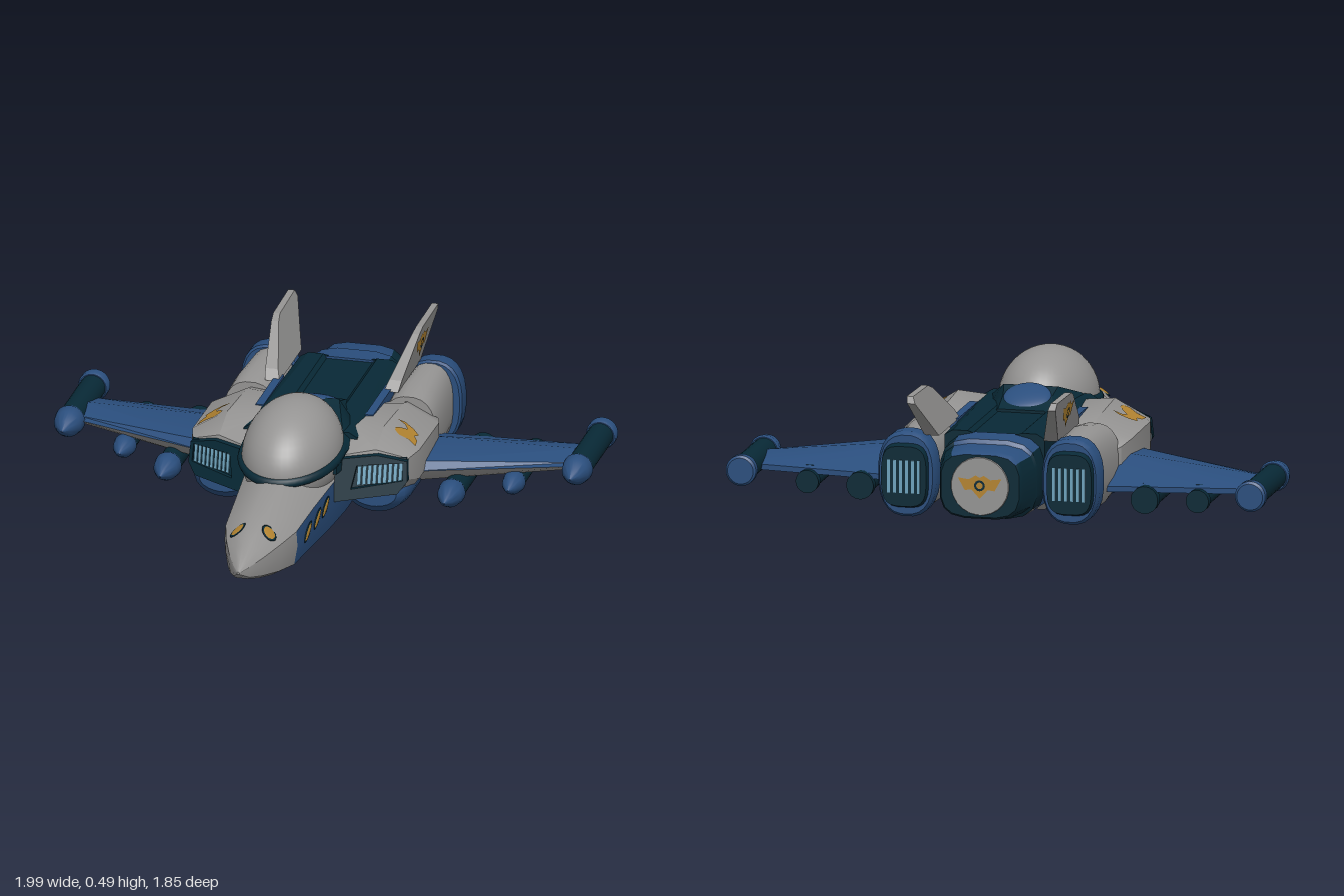
import * as THREE from 'three';
import { toCreasedNormals } from 'three/addons/utils/BufferGeometryUtils.js';

const flat = (name, color, side = THREE.FrontSide) => {
  const m = new THREE.MeshStandardMaterial({ color, side });
  m.name = name;
  return m;
};

export function createModel() {
  const grey = flat('hullGrey', 0x959493), blue = flat('blue', 0x2a4e7d), teal = flat('darkTeal', 0x082936, THREE.DoubleSide);
  const gold = flat('gold', 0xb38431, THREE.DoubleSide), light = flat('grilleBlue', 0x6ea3bd);
  const model = new THREE.Group();
  model.name = 'starfighter';

  const add = (name, geo, mat) => {
    const m = new THREE.Mesh(geo, mat);
    m.name = name;
    model.add(m);
  };
  // Mirrored copy in x with the triangle winding turned back outwards
  const mirror = (geo) => {
    const g = geo.clone().scale(-1, 1, 1);
    for (const a of Object.values(g.attributes)) {
      const n = a.itemSize;
      for (let t = 0; t < a.count; t += 3) for (let k = 0; k < n; k++) {
        const p = (t + 1) * n + k, q = (t + 2) * n + k, v = a.array[p];
        a.array[p] = a.array[q];
        a.array[q] = v;
      }
    }
    return g;
  };
  const pair = (name, geo, mat) => {
    const g = geo.index ? geo.toNonIndexed() : geo;
    add('left' + name, g, mat);
    add('right' + name, mirror(g), mat);
  };
  // Closed skin over rings of [x, y, z]; pick(i, j) gives the material slot, i = -1 / -2 are the end caps
  const loft = (rings, crease = 0.6, pick = () => 0) => {
    const slots = [];
    const put = (s, ...p) => (slots[s] ||= []).push(...p.flat());
    const n = rings[0].length, last = rings.length - 1;
    const mid = (r) => [0, 1, 2].map((k) => r.reduce((t, p) => t + p[k], 0) / n);
    for (let j = 0; j < n; j++) {
      const k = (j + 1) % n;
      for (let i = 0; i < last; i++) {
        const a = rings[i][j], b = rings[i][k], c = rings[i + 1][k], d = rings[i + 1][j];
        put(pick(i, j), a, d, c, a, c, b);
      }
      put(pick(-1, j), mid(rings[0]), rings[0][j], rings[0][k]);
      put(pick(-2, j), mid(rings[last]), rings[last][k], rings[last][j]);
    }
    const g = new THREE.BufferGeometry();
    let start = 0;
    slots.forEach((s, i) => {
      g.addGroup(start, s.length / 3, i);
      start += s.length / 3;
    });
    g.setAttribute('position', new THREE.Float32BufferAttribute(slots.flat(), 3));
    return toCreasedNormals(g, crease);
  };
  const ring = (cx, cy, z, rx, ry, p = 2, n = 24) => Array.from({ length: n }, (_, i) => {
    const t = (i + 0.5) / n * Math.PI * 2, c = Math.cos(t), s = Math.sin(t);
    return [cx + rx * Math.sign(c) * Math.abs(c) ** (2 / p), cy + ry * Math.sign(s) * Math.abs(s) ** (2 / p), z];
  });
  const tube = (cx, cy, list, p) => loft(list.map(([z, rx, ry = rx]) => ring(cx, cy, z, rx, ry, p)));
  const shape = (pts) => new THREE.Shape(pts.map(([x, y]) => new THREE.Vector2(x, y)));
  const warp = (geo, fn) => {
    const p = geo.attributes.position;
    for (let i = 0; i < p.count; i++) p.setXYZ(i, ...fn(p.getX(i), p.getY(i), p.getZ(i)));
    geo.computeVertexNormals();
    return geo;
  };
  const ellipsoid = (x, y, z, seg = 32) => new THREE.SphereGeometry(1, seg, seg / 2).scale(x, y, z);

  // Fuselage: grey nose, back and belly with blue flanks
  const half = [[0.66, 0], [0.91, 0.09], [1, 0.42], [0.97, 0.68], [0.6, 0.9], [0.2, 1]];
  const profile = [...half, ...half.map(([x, y]) => [-x, y]).reverse()];
  const hull = [[0.92, 0.004, 0.125, 0.135], [0.87, 0.033, 0.092, 0.162], [0.8, 0.066, 0.07, 0.19],
    [0.7, 0.104, 0.047, 0.222], [0.59, 0.135, 0.03, 0.245], [0.4, 0.15, 0.02, 0.278], [0.2, 0.168, 0.012, 0.305],
    [0, 0.18, 0.008, 0.315], [-0.43, 0.18, 0.008, 0.315], [-0.46, 0.18, 0.04, 0.315], [-0.74, 0.17, 0.05, 0.3]];
  add('fuselage', loft(hull.map(([z, w, b, t]) => profile.map(([x, y]) => [x * w, b + y * (t - b), z])), 0.5,
    (i, j) => (i >= 4 && [1, 2, 8, 9].includes(j) ? 1 : 0)), [grey, blue]);

  // Canopy bubble, its tilted frame and the raised collar behind it
  add('canopy', ellipsoid(0.178, 0.19, 0.265, 48).rotateX(0.12).translate(0, 0.3, 0.13), grey);
  add('canopyFrame', new THREE.TorusGeometry(1, 0.09, 8, 48).rotateX(Math.PI / 2).scale(0.176, 0.2, 0.258)
    .rotateX(0.1).translate(0, 0.3, 0.13), teal);
  const collar = [[0.2, 0.18, 0.295, 0.165], [0, 0.205, 0.35, 0.15], [-0.15, 0.165, 0.4, 0.1], [-0.2, 0.15, 0.372, 0.09],
    [-0.3, 0.14, 0.34, 0.085]];
  add('canopyCollar', loft(collar.map(([z, w, t, u]) =>
    [[w, 0.25, z], [w, 0.305, z], [u, t, z], [-u, t, z], [-w, 0.305, z], [-w, 0.25, z]])), teal);
  add('rearDome', ellipsoid(0.088, 0.022, 0.085).rotateX(-0.42).translate(0, 0.367, -0.205), blue);

  // Dark spine deck with raised side rails and blue edges
  const deck = [[0.02, 0.21], [-0.3, 0.2], [-0.5, 0.19], [-0.7, 0.185]];
  add('spineDeck', loft(deck.map(([z, w]) => [[w, 0.25, z], [w, 0.325, z], [w - 0.03, 0.343, z], [0.1, 0.343, z],
    [0.085, 0.33, z], [-0.085, 0.33, z], [-0.1, 0.343, z], [0.03 - w, 0.343, z], [-w, 0.325, z], [-w, 0.25, z]]), 0.3), teal);
  pair('DeckEdge', new THREE.BoxGeometry(0.03, 0.1, 0.3).translate(0.203, 0.287, -0.33), blue);

  // Tail block: blue top, dark sides, grey end disc with a crest
  const tail = [[-0.69, 0.185, 0.15], [-0.79, 0.18, 0.145], [-0.8, 0.175, 0.13], [-0.9, 0.155, 0.125], [-0.92, 0.145, 0.115]];
  add('tailBlock', loft(tail.map(([z, x, y]) => ring(0, 0.19, z, x, y, 3.5, 16)), 0.5, (i, j) => {
    if (i === -2) return 1;
    if (j > 1 && j < 6) return 0;
    return i === 0 && j > 8 && j < 15 ? 2 : 1;
  }), [blue, teal, grey]);
  add('tailDisc', tube(0, 0.19, [[-0.915, 0.11], [-0.924, 0.105]]), grey);
  const crest = shape([[-0.08, 0.03], [-0.04, 0.025], [-0.015, 0.04], [0, 0.032], [0.015, 0.04], [0.04, 0.025], [0.08, 0.03],
    [0.055, -0.015], [0.03, -0.012], [0, -0.045], [-0.03, -0.012], [-0.055, -0.015]]);
  const crestEye = new THREE.RingGeometry(0.012, 0.02, 16);
  add('tailCrest', new THREE.ShapeGeometry(crest).rotateY(Math.PI).translate(0, 0.19, -0.927), gold);
  add('tailCrestEye', crestEye.clone().rotateY(Math.PI).translate(0, 0.193, -0.929), teal);

  // Shoulders over the intakes: swept, back-leaning front faces and tops that fall towards the rear
  const sweep = (x, y) => 0.165 - 0.5 * (x - 0.17) - 0.25 * (y - 0.14);
  const shoulder = [[null, 0.17, 0.4, 0.305, 0.265, 0.14], [-0.06, 0.18, 0.42, 0.35, 0.27, 0.11],
    [-0.34, 0.19, 0.42, 0.33, 0.265, 0.11], [-0.42, 0.2, 0.4, 0.305, 0.25, 0.11], [-0.445, 0.2, 0.375, 0.28, 0.24, 0.12]];
  pair('Shoulder', loft(shoulder.map(([z, xi, xo, yt, yo, yb]) =>
    [[xo - 0.04, yb], [xo, yb + 0.05], [xo, yo], [0.29, yt], [xi, yt - 0.01], [xi, yb]]
      .map(([x, y]) => [x, y, z ?? sweep(x, y)])), 0.5), grey);
  const swirl = [[0.31, 0.06], [0.34, 0.05], [0.355, 0.025], [0.335, 0.01], [0.32, -0.015], [0.325, -0.04], [0.345, -0.055],
    [0.375, -0.045], [0.405, -0.06], [0.4, -0.015], [0.385, 0.005], [0.395, 0.03], [0.37, 0.055], [0.335, 0.07]];
  pair('ShoulderEmblem', warp(new THREE.ShapeGeometry(shape(swirl)), (x, y) => {
    const top = 0.346 - 0.07 * (y + 0.06);
    return [x, top + 0.005 + (0.269 - top) * (x - 0.29) / 0.13, -0.12 - y];
  }), gold);

  // Intake frame with an opening, grille plate and bars
  const frame = shape([[0.165, 0.14], [0.375, 0.15], [0.405, 0.19], [0.4, 0.262], [0.3, 0.292], [0.165, 0.29]]);
  frame.holes.push(shape([[0.22, 0.18], [0.235, 0.262], [0.387, 0.257], [0.39, 0.195]]));
  const swept = (geo, dz) => warp(geo.index ? geo.toNonIndexed() : geo, (x, y, z) => [x, y, z + sweep(x, y) + dz]);
  pair('IntakeFrame', swept(new THREE.ExtrudeGeometry(frame, { depth: 0.025, bevelEnabled: false }), 0), teal);
  pair('IntakeBack', swept(new THREE.BoxGeometry(0.19, 0.1, 0.005).translate(0.3, 0.222, 0), 0.005), teal);
  for (let i = 0; i < 9; i++) {
    pair('IntakeBar' + i, swept(new THREE.BoxGeometry(0.012, 0.066, 0.012).translate(0.243 + i * 0.017, 0.223, 0), 0.01), light);
  }

  // Rounded ducts under the shoulders
  pair('Duct', tube(0.28, 0.135, [[0.06, 0.085, 0.05], [0.03, 0.11, 0.08], [-0.05, 0.122, 0.093], [-0.32, 0.122, 0.093],
    [-0.46, 0.095, 0.08]]), blue);

  // Engines: grey casing, blue band, dark nozzle with a grille
  pair('Engine', tube(0.293, 0.19, [[-0.4, 0.1, 0.14], [-0.5, 0.1, 0.152], [-0.73, 0.085, 0.15]], 2.5), grey);
  pair('EngineBand', tube(0.302, 0.192, [[-0.71, 0.1, 0.15], [-0.72, 0.108, 0.157], [-0.78, 0.108, 0.157], [-0.8, 0.098, 0.145]], 2.5), blue);
  pair('Nozzle', tube(0.305, 0.19, [[-0.78, 0.09, 0.125], [-0.825, 0.083, 0.11]], 3.5), teal);
  for (let i = 0; i < 6; i++) {
    pair('NozzleBar' + i, new THREE.BoxGeometry(0.011, 0.12, 0.008).translate(0.25 + i * 0.022, 0.19, -0.825), light);
  }

  // Outward leaning fins that thin towards the tip, with crests
  const lean = (x, y, z) => [0.2 + (x - 0.2) * (1 - (y - 0.35) * 3.5) + (y - 0.35) * 0.36, y, z];
  const fin = shape([[0.43, 0.33], [0.46, 0.365], [0.63, 0.48], [0.67, 0.495], [0.89, 0.5], [0.9, 0.475], [0.79, 0.37], [0.75, 0.33]]);
  pair('Fin', warp(new THREE.ExtrudeGeometry(fin, { depth: 0.05, bevelEnabled: false }).rotateY(Math.PI / 2).translate(0.2, 0, 0),
    lean), grey);
  pair('FinCrest', warp(new THREE.ShapeGeometry(crest).scale(1, 1.15, 1).rotateY(Math.PI / 2).translate(0.254, 0.422, -0.69), lean), gold);
  pair('FinCrestEye', warp(crestEye.clone().rotateY(Math.PI / 2).translate(0.257, 0.426, -0.69), lean), teal);

  // Wings: blue above, grey below
  const rib = (x, front, back, top, bottom) => [[x, bottom, back], [x, bottom + 0.02, back], [x, top, back * 0.5 + front * 0.5],
    [x, top - 0.02, front - 0.03], [x, (top + bottom) / 2, front], [x, bottom, front - 0.04]];
  pair('Wing', loft([rib(0.92, -0.32, -0.555, 0.178, 0.13), rib(0.36, -0.1, -0.568, 0.215, 0.115)], 0.4,
    (i, j) => (j > 3 ? 1 : 0)), [blue, grey]);

  // Wingtip pods and underwing missiles: [name, x, y, radius, tip z, body start, tail z]
  for (const [name, x, y, r, tip, body, end] of [['TipPod', 0.94, 0.15, 0.056, -0.2, -0.32, -0.65],
    ['InnerMissile', 0.525, 0.095, 0.05, 0, -0.12, -0.58], ['OuterMissile', 0.72, 0.1, 0.042, -0.16, -0.26, -0.58]]) {
    const len = tip - body;
    pair(name + 'Nose', tube(x, y, [[tip, 0.002], [tip - len * 0.3, r * 0.5], [tip - len * 0.65, r * 0.88], [body, r],
      [body - 0.015, r * 0.9]]), blue);
    pair(name + 'Body', tube(x, y, [[body, r * 0.84], [end, r * 0.84]]), teal);
    if (name === 'TipPod') pair(name + 'Cap', tube(x, y, [[-0.645, r * 0.9], [-0.655, r], [-0.685, r], [-0.692, r * 0.85]]), blue);
    else {
      pair(name + 'Collar', tube(x, y, [[end + 0.03, r], [end - 0.005, r]]), teal);
      pair(name + 'Pylon', new THREE.BoxGeometry(0.03, 0.035, 0.22).translate(x, y + 0.035, -0.43), teal);
    }
  }

  // Gold slits with dark rims on the flanks, and eye marks on the nose
  [[0.475, 0.145], [0.37, 0.153], [0.285, 0.161]].forEach(([z, x], i) => {
    const slit = (mat, name, h, l, t) => pair(name + i,
      ellipsoid(t, h, l, 16).rotateX(0.6).rotateY(-0.08).translate(x, 0.133 + i * 0.012, z), mat);
    slit(teal, 'FlankRim', 0.02, 0.048, 0.0035);
    slit(gold, 'FlankSlit', 0.016, 0.043, 0.0048);
  });
  const mark = (mat, name, s, t) => pair(name,
    ellipsoid(0.026 * s, t, 0.034 * s, 16).rotateY(0.5).rotateZ(-0.6).rotateX(0.2).translate(0.058, 0.206, 0.7), mat);
  mark(teal, 'NoseMarkRim', 1.15, 0.0035);
  mark(gold, 'NoseMark', 1, 0.0048);
  return model;
}
